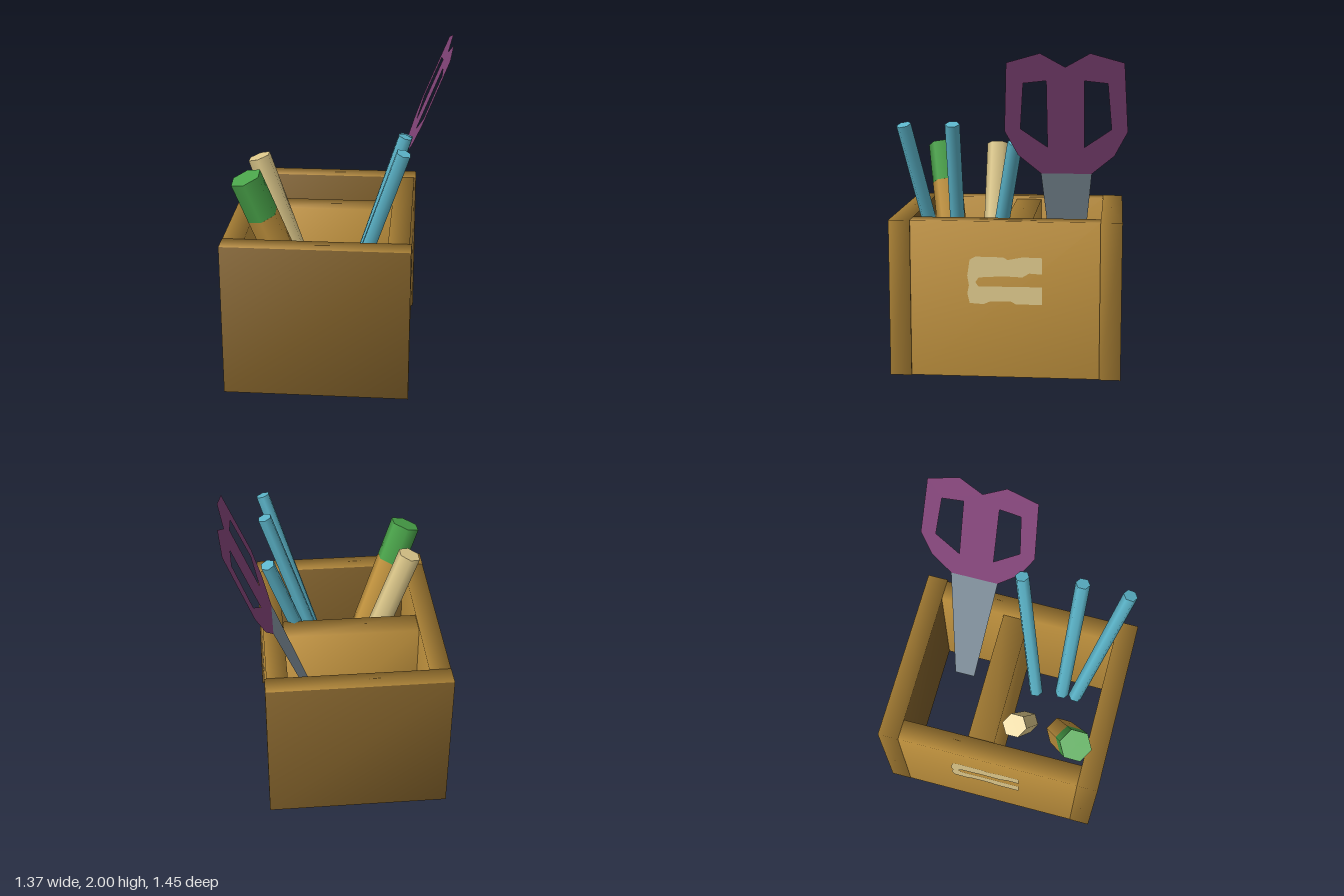
import * as THREE from 'three';
import { mergeVertices } from 'three/addons/utils/BufferGeometryUtils.js';

const mat = (name, color, side = THREE.FrontSide) => {
  const m = new THREE.MeshStandardMaterial({ color, side });
  m.name = name;
  return m;
};

export function createModel() {
  const group = new THREE.Group();
  const wood = mat('wood', 0xc4953f);
  const darkWood = mat('dark wood', 0x80602a);
  const blue = mat('pencil blue', 0x5cb5ca);
  const green = mat('cap green', 0x4aa44a);
  const cream = mat('cream', 0xdfca8c);
  const purple = mat('handle purple', 0x84457a, THREE.DoubleSide);
  const steel = mat('blade grey', 0x81919d, THREE.DoubleSide);

  const add = (name, geometry, material) => {
    const mesh = new THREE.Mesh(geometry, material);
    mesh.name = name;
    group.add(mesh);
    return mesh;
  };

  // Wooden boards with softly shaded edges
  const board = (name, [x0, x1], [y0, y1], [z0, z1], material) => {
    let g = new THREE.BoxGeometry(x1 - x0, y1 - y0, z1 - z0);
    g.deleteAttribute('normal');
    g.deleteAttribute('uv');
    g = mergeVertices(g);
    g.computeVertexNormals();
    g.translate((x0 + x1) / 2, (y0 + y1) / 2, (z0 + z1) / 2);
    return add(name, g, material);
  };
  const endMaterials = [wood, wood, wood, wood, darkWood, darkWood];
  board('frontBoard', [-0.685, 0.457], [0, 0.98], [0.593, 0.725], endMaterials);
  board('backBoard', [-0.685, 0.457], [0, 0.98], [-0.705, -0.573], endMaterials);
  board('rightBoard', [-0.683, -0.55], [0, 0.98], [-0.573, 0.593], wood);
  board('leftBoard', [0.315, 0.445], [0, 0.98], [-0.573, 0.593], wood);
  board('divider', [-0.55, 0.315], [0.02, 0.965], [-0.15, 0.02], wood);

  // Six-sided sticks between two points
  const stick = (name, from, to, radius, material) => {
    const a = new THREE.Vector3(...from), b = new THREE.Vector3(...to);
    const mesh = add(name, new THREE.CylinderGeometry(radius, radius, a.distanceTo(b), 6), material);
    mesh.position.copy(a).add(b).multiplyScalar(0.5);
    mesh.quaternion.setFromUnitVectors(new THREE.Vector3(0, 1, 0), b.sub(a).normalize());
  };
  stick('bluePencilFront', [0.05, 0.48, 0.425], [0.4, 1.56, 0.63], 0.046, blue);
  stick('bluePencilMiddle', [0.05, 0.48, 0.332], [0.4, 1.565, 0.332], 0.046, blue);
  stick('bluePencilBack', [0.05, 0.38, 0.152], [0.4, 1.455, -0.05], 0.046, blue);
  stick('creamStick', [-0.195, 0.43, 0.153], [-0.515, 1.355, 0.145], 0.075, cream);
  stick('markerBody', [-0.21, 0.44, 0.39], [-0.449, 1.1, 0.492], 0.1, wood);
  stick('markerCap', [-0.449, 1.1, 0.492], [-0.54, 1.35, 0.53], 0.1, green);

  // Flat scissors, drawn as (z, y) and leaned outwards
  const points = (list) => list.map(([z, y]) => new THREE.Vector2(z, y));
  const leaned = (name, outline, holes, material) => {
    const shape = new THREE.Shape(points(outline));
    holes.forEach((h) => shape.holes.push(new THREE.Path(points(h))));
    const g = new THREE.ShapeGeometry(shape);
    const p = g.attributes.position;
    for (let i = 0; i < p.count; i++) {
      const z = p.getX(i), y = p.getY(i);
      p.setXYZ(i, 0.39 + (y - 1.27) * 0.397, y, z);
    }
    // Wind the faces towards +x
    const index = g.index.array;
    for (let i = 0; i < index.length; i += 3) [index[i], index[i + 1]] = [index[i + 1], index[i]];
    g.computeVertexNormals();
    add(name, g, material);
  };
  const mid = -0.361;
  const mirror = (half) => half.map(([d, y]) => [mid - d, y]).reverse();
  const half = [[0.154, 1.27], [0.289, 1.385], [0.366, 1.535], [0.341, 1.945], [0.144, 2]];
  const hole = [[0.111, 1.438], [0.27, 1.55], [0.246, 1.825], [0.111, 1.84]];
  const right = (list) => list.map(([d, y]) => [mid + d, y]);
  leaned('scissorHandles', [...right(half), [mid, 1.92], ...mirror(half)], [right(hole), mirror(hole)], purple);
  leaned('scissorBlade', [[mid - 0.068, 0.39], [mid + 0.068, 0.39], [mid + 0.154, 1.27], [mid - 0.154, 1.27]], [], steel);

  // Worn paper patch on each side: two strips joined at one end
  const patch = new THREE.Shape(points([
    [-0.24, 0.64], [-0.225, 0.74], [-0.19, 0.76], [-0.02, 0.758], [0.01, 0.742], [0.1, 0.76],
    [0.22, 0.757], [0.22, 0.655], [0.14, 0.66], [0.1, 0.635], [-0.02, 0.64], [-0.17, 0.63],
    [-0.19, 0.6], [-0.17, 0.572], [0, 0.575], [0.22, 0.575], [0.22, 0.465], [0.06, 0.465],
    [0.03, 0.482], [-0.1, 0.48], [-0.14, 0.463], [-0.225, 0.468], [-0.24, 0.53], [-0.23, 0.58],
  ]));
  for (const side of [1, -1]) {
    const mesh = add(side > 0 ? 'leftPatch' : 'rightPatch', new THREE.ShapeGeometry(patch), cream);
    mesh.rotation.y = side * Math.PI / 2;
    mesh.position.x = side > 0 ? 0.449 : -0.687;
  }
  return group;
}
